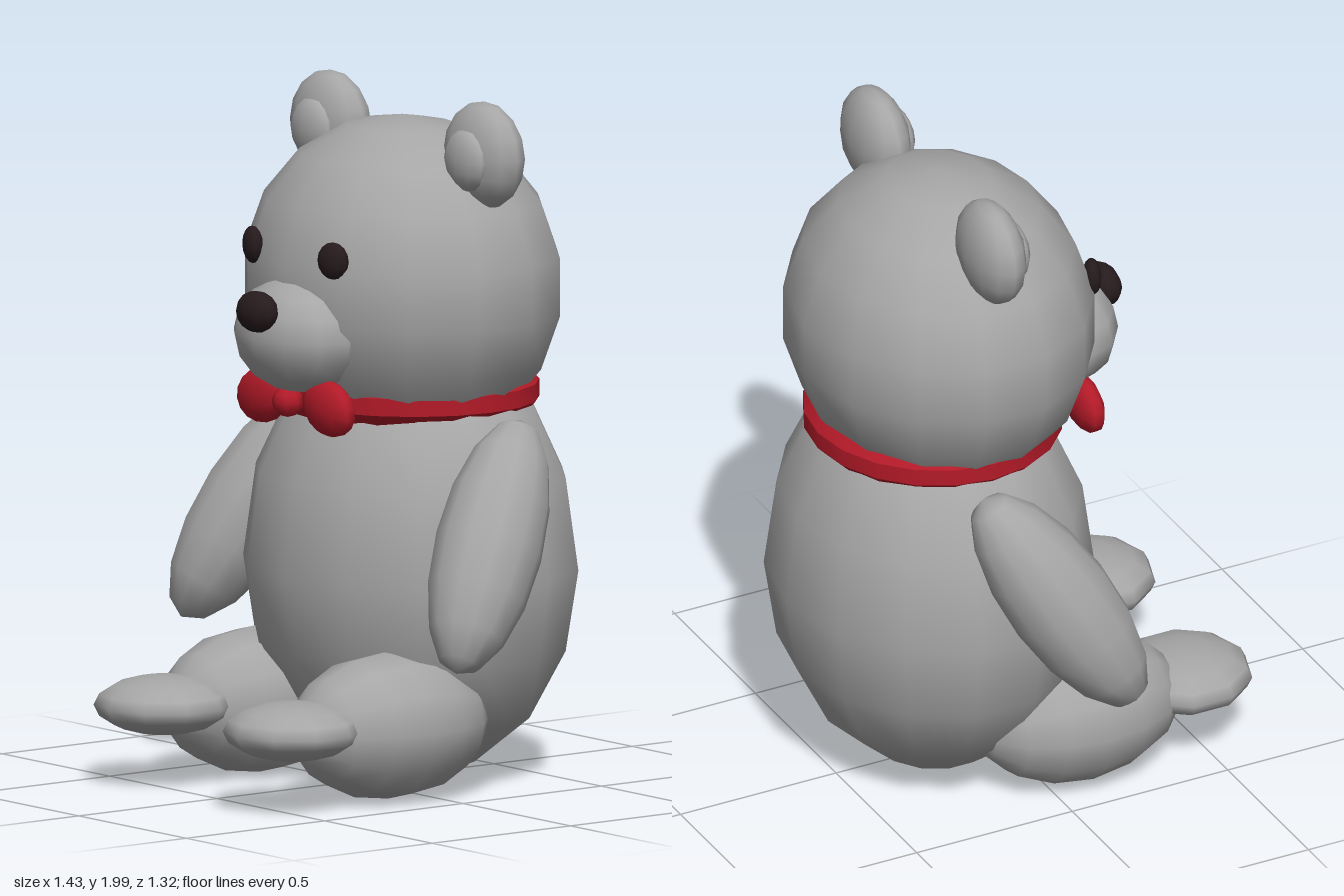
import * as THREE from 'three';
import { toCreasedNormals } from 'three/addons/utils/BufferGeometryUtils.js';

const mat = (name, color) => Object.assign(new THREE.MeshStandardMaterial({ color }), { name });

export function createModel() {
  const bear = new THREE.Group();
  bear.name = 'teddyBear';
  const fur = mat('greyFur', 0xa6a6a6);
  const red = mat('redRibbon', 0xb31a28);
  const dark = mat('darkBrown', 0x261b1d);

  // Low-poly ellipsoid; poles along y, with a corner on the z axis
  function ellipsoid(name, material, pos, radii, segs = [12, 8], parent = bear) {
    const geo = new THREE.SphereGeometry(1, ...segs).rotateY(Math.PI / 2);
    geo.scale(...radii);
    const mesh = new THREE.Mesh(geo, material);
    mesh.name = name;
    mesh.position.set(...pos);
    parent.add(mesh);
    return mesh;
  }

  // Body: an egg whose upper half is stretched
  const body = ellipsoid('body', fur, [0, 0.62, -0.2], [0.525, 0.613, 0.46], [14, 8]);
  const p = body.geometry.attributes.position;
  for (let i = 0; i < p.count; i++) if (p.getY(i) > 0) p.setY(i, p.getY(i) * 1.14);
  body.geometry.computeBoundingSphere();

  // Head and face
  ellipsoid('head', fur, [0, 1.44, -0.17], [0.5, 0.48, 0.44], [14, 9]);
  ellipsoid('muzzle', fur, [0, 1.32, 0.2], [0.23, 0.167, 0.17], [12, 8]);
  ellipsoid('nose', dark, [0, 1.4, 0.355], [0.08, 0.06, 0.05], [10, 8]);

  // Collar: ring with an eight-sided section
  const profile = [];
  for (let i = 0; i <= 8; i++) {
    const a = (i + 0.5) * Math.PI / 4;
    profile.push(new THREE.Vector2(0.325 + 0.066 * Math.cos(a), 0.066 * Math.sin(a)));
  }
  const ring = new THREE.LatheGeometry(profile, 20);
  ring.scale(1, 1, 0.955);
  const collar = new THREE.Mesh(toCreasedNormals(ring, 0.6), red);
  collar.material.side = THREE.DoubleSide;
  collar.name = 'collar';
  collar.position.set(0, 1.128, -0.19);
  bear.add(collar);
  ellipsoid('bowKnot', red, [0, 1.13, 0.245], [0.047, 0.045, 0.045], [8, 6]);

  // Paired parts
  const down = new THREE.Vector3(0, -1, 0);
  for (const s of [1, -1]) {
    const side = s > 0 ? 'left' : 'right';

    const eye = ellipsoid(side + 'Eye', dark, [s * 0.187, 1.558, 0.226], [0.05, 0.054, 0.027], [10, 8]);
    eye.rotation.y = s * 0.35;

    ellipsoid(side + 'Ear', fur, [s * 0.357, 1.845, -0.188], [0.157, 0.155, 0.084], [12, 8]);
    ellipsoid(side + 'InnerEar', fur, [s * 0.357, 1.835, -0.125], [0.092, 0.09, 0.045], [10, 8]);

    const lobe = ellipsoid(side + 'BowLoop', red, [s * 0.152, 1.127, 0.215], [0.112, 0.08, 0.045], [10, 8]);
    lobe.rotation.z = -s * 0.2;

    // Arm leans outward and forward
    const arm = ellipsoid(side + 'Arm', fur, [s * 0.54, 0.748, -0.062], [0.155, 0.4, 0.157], [12, 8]);
    arm.quaternion.setFromUnitVectors(down, new THREE.Vector3(s * 0.25, -0.836, 0.487).normalize());

    // Leg points forward, with its foot lying flat
    const leg = ellipsoid(side + 'Leg', fur, [s * 0.3, 0.22, 0.115], [0.22, 0.32, 0.213], [12, 8]);
    leg.rotation.x = Math.PI / 2;
    ellipsoid(side + 'Foot', fur, [s * 0.3, 0.237, 0.46], [0.2, 0.084, 0.2], [10, 8]);
  }
  return bear;
}
